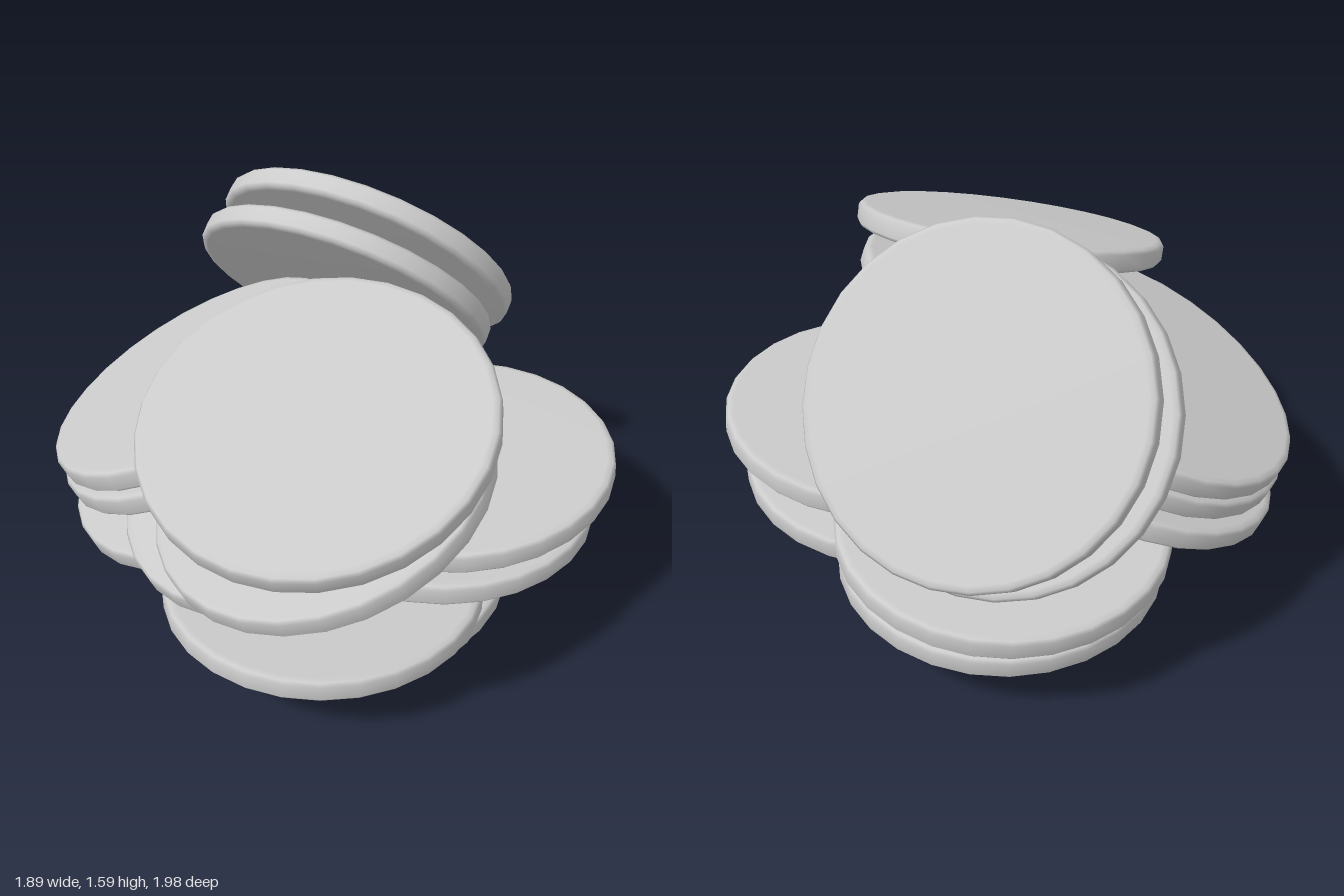
import * as THREE from 'three';

const RADIUS = 0.607, HALF = 0.045;

// Thick disc with a softly rounded rim
function discGeometry() {
  const profile = [
    [0, -HALF], [RADIUS - 0.03, -HALF], [RADIUS - 0.01, -HALF + 0.005], [RADIUS, -HALF + 0.018],
    [RADIUS, HALF - 0.018], [RADIUS - 0.01, HALF - 0.005], [RADIUS - 0.03, HALF], [0, HALF],
  ].map(([r, y]) => new THREE.Vector2(r, y));
  return new THREE.LatheGeometry(profile, 28);
}

// Direction a disc faces, from how much it rises along x and along z
const slope = (sx, sz) => [-sx, 1, -sz];

// name, centre, facing direction
const DISCS = [
  // base of the pile
  ['bottomDisc', [-0.01, 0.049, 0.11], slope(-0.005, 0.003)],
  ['secondDisc', [0, 0.14, 0.157], slope(0, 0.017)],
  ['lowerFrontLeftDisc', [-0.245, 0.255, 0.275], slope(-0.055, 0.08)],
  ['lowerBackRightDisc', [0.27, 0.275, -0.26], slope(-0.02, 0.06)],
  // right-hand stacks
  ['middleFrontRightDisc', [0.29, 0.415, 0.302], slope(-0.035, 0.07)],
  ['middleBackRightDisc', [0.32, 0.45, -0.33], slope(-0.015, 0.074)],
  ['upperFrontRightDisc', [0.332, 0.605, 0.342], slope(0.045, 0.075)],
  // tilted left-hand stack
  ['tiltedLowDisc', [-0.3, 0.54, -0.33], slope(0.34, 0.23)],
  ['tiltedMiddleDisc', [-0.32, 0.725, 0.135], slope(0.36, 0.13)],
  ['tiltedFrontDisc', [-0.33, 0.855, 0.385], slope(0.33, 0.13)],
  ['tiltedBackLowerDisc', [-0.32, 0.76, -0.365], slope(0.33, 0.39)],
  ['tiltedBackUpperDisc', [-0.335, 0.86, -0.39], slope(0.33, 0.41)],
  ['topLeftDisc', [-0.36, 1.135, 0.393], slope(0.312, -0.135)],
  // steep leaning pair
  ['leaningInnerDisc', [0.39, 0.985, -0.4], [0.715, 0.61, -0.345]],
  ['leaningOuterDisc', [0.505, 1.088, -0.405], [0.73, 0.6, -0.33]],
];

export function createModel() {
  const pile = new THREE.Group();
  pile.name = 'discPile';
  const geometry = discGeometry();
  const material = new THREE.MeshStandardMaterial({ color: 0xcccccc });
  const up = new THREE.Vector3(0, 1, 0);
  for (const [name, centre, facing] of DISCS) {
    const disc = new THREE.Mesh(geometry, material);
    disc.name = name;
    disc.position.set(...centre);
    disc.quaternion.setFromUnitVectors(up, new THREE.Vector3(...facing).normalize());
    pile.add(disc);
  }
  return pile;
}
